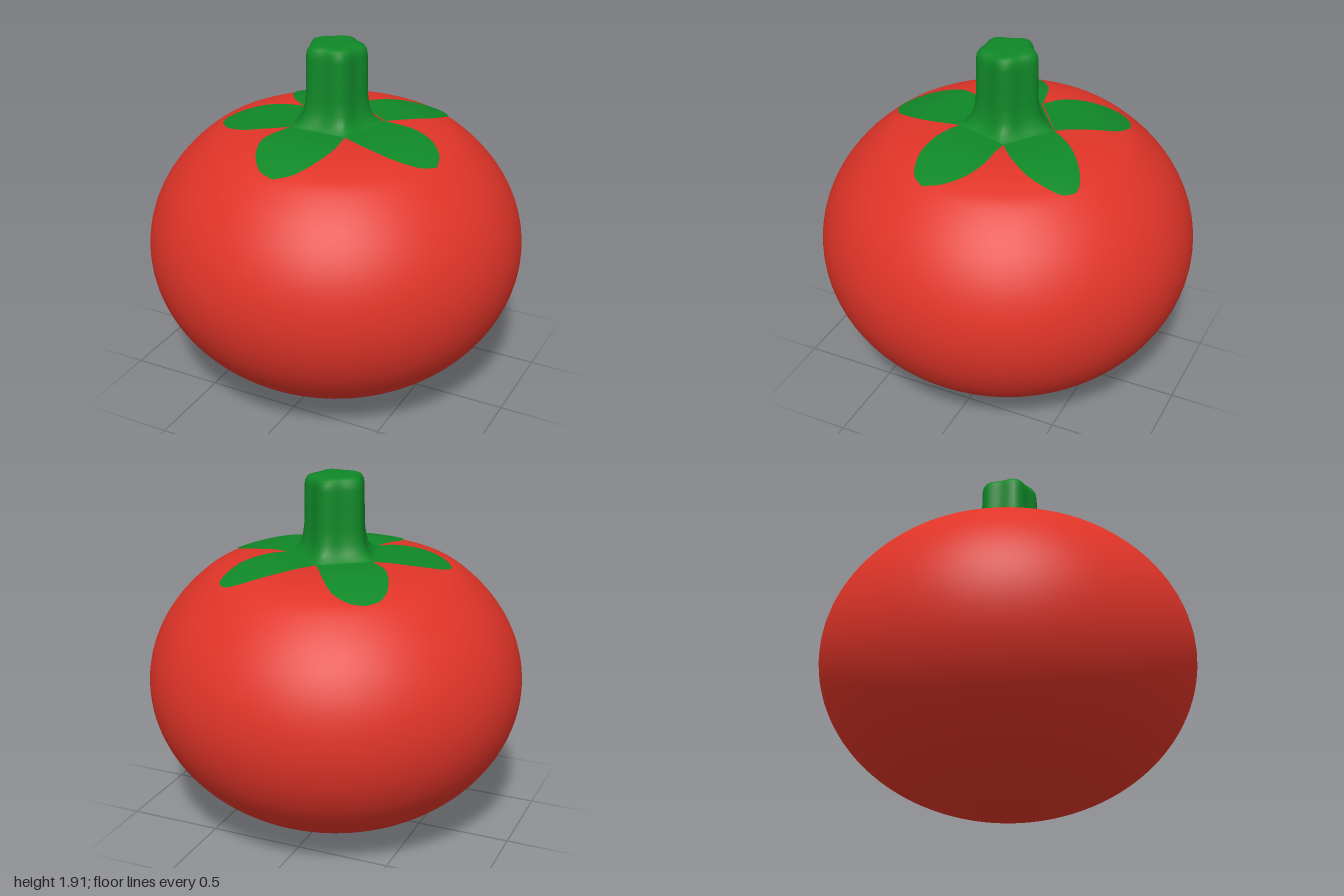
import * as THREE from 'three';

const red = new THREE.MeshStandardMaterial({ color: 0xe03428 });
red.name = 'tomatoRed';
const green = new THREE.MeshStandardMaterial({ color: 0x108828, side: THREE.DoubleSide });
green.name = 'leafGreen';

function mesh(name, geometry, material) {
  const m = new THREE.Mesh(geometry, material);
  m.name = name;
  return m;
}

// Smooth surface through a grid of points: rows of equal length, optionally closed
function gridSurface(rows, closed) {
  const n = rows[0].length, index = [];
  for (let i = 0; i < rows.length - 1; i++) {
    for (let j = 0; j < (closed ? n : n - 1); j++) {
      const k = (j + 1) % n;
      const a = i * n + j, b = (i + 1) * n + j, c = i * n + k, d = (i + 1) * n + k;
      index.push(a, b, c, b, d, c);
    }
  }
  const g = new THREE.BufferGeometry();
  g.setAttribute('position', new THREE.Float32BufferAttribute(rows.flat(2), 3));
  g.setIndex(index);
  g.computeVertexNormals();
  return g;
}

// Squashed round fruit with a flattened, slightly dimpled top
function fruit() {
  const pts = [];
  const end = Math.asin(0.75);
  for (let i = 0; i <= 18; i++) {
    const t = -Math.PI / 2 + (end + Math.PI / 2) * i / 18;
    pts.push(new THREE.Vector2(Math.cos(t), 0.8 + 0.8 * Math.sin(t)));
  }
  for (const [r, y] of [[0.58, 1.436], [0.5, 1.459], [0.4, 1.473], [0.3, 1.475], [0.15, 1.463], [0, 1.45]]) {
    pts.push(new THREE.Vector2(r, y));
  }
  const profile = new THREE.SplineCurve(pts).getPoints(96);
  profile.forEach(p => { p.x = Math.max(0, p.x); p.y = Math.max(0, p.y); });
  return new THREE.LatheGeometry(profile, 96);
}

// Five-sided stem flaring out to the leaf bases: [corner radius, height, roundness]
function stem() {
  const levels = [[0.258, 1.489, 0], [0.225, 1.503, 0.4], [0.195, 1.53, 0.8], [0.175, 1.575, 1],
    [0.166, 1.64, 1], [0.164, 1.75, 1], [0.163, 1.85, 1], [0.158, 1.88, 1], [0.145, 1.9, 1],
    [0.122, 1.909, 1], [0.09, 1.911, 1], [0, 1.911, 1]];
  const sides = 60, side = Math.PI * 2 / 5;
  return gridSurface(levels.map(([R, y, round]) => {
    const ring = [];
    for (let j = 0; j < sides; j++) {
      const a = j / sides * Math.PI * 2;
      const sharp = Math.cos(side / 2) / Math.cos((a % side) - side / 2);
      const soft = 0.925 + 0.075 * Math.cos(5 * a);
      const r = R * (sharp + (soft - sharp) * round);
      ring.push([r * Math.sin(a), y, -r * Math.cos(a)]);
    }
    return ring;
  }), true);
}

// Thin leaf spanned between two edge curves (x, z) that meet at the tip, draped over the fruit
function leaf(edgeA, edgeB) {
  const curve = pts => new THREE.SplineCurve(pts.map(p => new THREE.Vector2(...p))).getSpacedPoints(24);
  const a = curve(edgeA), b = curve(edgeB), rows = [];
  for (let i = 0; i < a.length; i++) {
    const row = [];
    for (let j = 0; j <= 10; j++) {
      const p = a[i].clone().lerp(b[i], j / 10);
      const drop = Math.max(0, p.length() - 0.3);
      row.push([p.x, 1.493 - 0.64 * drop * drop, p.y]);
    }
    rows.push(row);
  }
  return gridSurface(rows, false);
}

const leaves = {
  frontLeaf: [
    [[-0.155, 0.2], [-0.185, 0.28], [-0.22, 0.39], [-0.18, 0.52], [-0.1, 0.62], [-0.01, 0.655]],
    [[0.15, 0.2], [0.165, 0.28], [0.167, 0.38], [0.14, 0.49], [0.08, 0.6], [-0.01, 0.655]]],
  leftLeaf: [
    [[0.15, 0.2], [0.22, 0.235], [0.32, 0.265], [0.45, 0.275], [0.58, 0.235], [0.64, 0.16]],
    [[0.24, -0.09], [0.32, -0.08], [0.42, -0.075], [0.53, -0.03], [0.61, 0.06], [0.64, 0.16]]],
  backLeftLeaf: [
    [[0.24, -0.09], [0.33, -0.17], [0.41, -0.29], [0.435, -0.4], [0.43, -0.49], [0.38, -0.54]],
    [[0, -0.26], [0.05, -0.33], [0.13, -0.42], [0.24, -0.5], [0.33, -0.54], [0.38, -0.54]]],
  backRightLeaf: [
    [[0, -0.26], [-0.05, -0.33], [-0.11, -0.42], [-0.2, -0.52], [-0.3, -0.555], [-0.38, -0.535]],
    [[-0.24, -0.09], [-0.34, -0.17], [-0.4, -0.27], [-0.435, -0.38], [-0.43, -0.47], [-0.38, -0.535]]],
  rightLeaf: [
    [[-0.24, -0.09], [-0.33, -0.07], [-0.43, -0.04], [-0.53, 0.03], [-0.585, 0.11], [-0.58, 0.18]],
    [[-0.155, 0.2], [-0.22, 0.25], [-0.3, 0.285], [-0.39, 0.302], [-0.5, 0.265], [-0.58, 0.18]]],
};

export function createModel() {
  const model = new THREE.Group();
  model.name = 'tomato';
  model.add(mesh('fruit', fruit(), red), mesh('stem', stem(), green));
  const calyx = new THREE.Group();
  calyx.name = 'leaves';
  for (const [name, [a, b]] of Object.entries(leaves)) calyx.add(mesh(name, leaf(a, b), green));
  model.add(calyx);
  return model;
}
